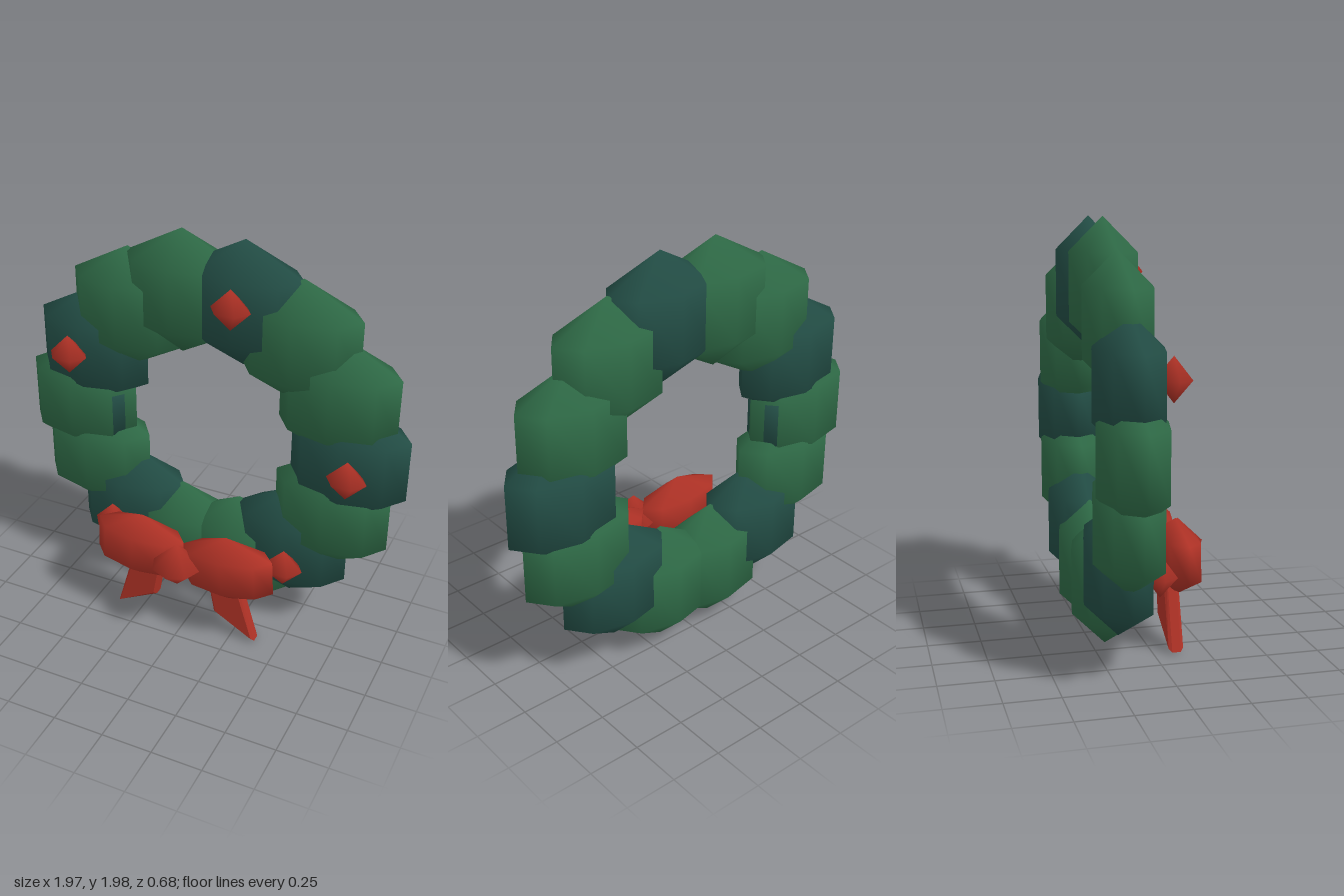
import * as THREE from 'three';

const green = new THREE.MeshStandardMaterial({ name: 'leafGreen', color: 0x2f6b47 });
const teal = new THREE.MeshStandardMaterial({ name: 'darkGreen', color: 0x234e46 });
const red = new THREE.MeshStandardMaterial({ name: 'ribbonRed', color: 0xb03226 });

export function createModel() {
  const model = new THREE.Group();
  model.name = 'wreath';

  const tuftGeo = new THREE.SphereGeometry(1, 8, 3);
  const berryGeo = new THREE.SphereGeometry(0.1, 6, 2);
  const knotGeo = new THREE.SphereGeometry(0.125, 8, 2);

  const add = (name, geo, material, position, scale = [1, 1, 1]) => {
    const mesh = new THREE.Mesh(geo, material);
    mesh.name = name;
    mesh.position.set(...position);
    mesh.scale.set(...scale);
    model.add(mesh);
    return mesh;
  };

  // Ring of foliage tufts, every third one dark and carrying a berry
  const count = 14;
  const centreY = 1.01;
  for (let i = 0; i < count; i++) {
    const a = (i / count) * Math.PI * 2;
    const c = Math.cos(a);
    const s = Math.sin(a);
    const dark = i % 3 === 0;
    add('tuft', tuftGeo, dark ? teal : green,
      [c * 0.7, centreY + s * 0.7, -0.185], [0.331, 0.31, 0.18]);
    if (dark) add('berry', berryGeo, red, [c * 0.75, centreY + s * 0.75, 0], [0.97, 1, 0.8]);
  }

  // Small dark tuft showing through the inner edge of the left-hand foliage
  add('innerTuft', tuftGeo, teal, [-0.657, 0.99, -0.185], [0.277, 0.22, 0.167]);

  // Bow: two loops, two tails and a knot
  const tailPoints = [[0.366, 0.04], [0.173, 0.149], [0.125, 0.405], [0.255, 0.405]];
  for (const side of [-1, 1]) {
    const loop = add('bowLoop', tuftGeo, red, [side * 0.236, 0.44, 0.14], [0.27, 0.18, 0.118]);
    loop.rotation.z = side * 0.06;

    const shape = new THREE.Shape(tailPoints.map(([x, y]) => new THREE.Vector2(side * x, y)));
    const tailGeo = new THREE.ExtrudeGeometry(shape, {
      depth: 0.04, bevelEnabled: true, bevelThickness: 0.015, bevelSize: 0.015, bevelSegments: 1,
    });
    add('bowTail', tailGeo, red, [0, 0, 0.085]);
  }
  add('bowKnot', knotGeo, red, [0, 0.44, 0.215], [1, 0.96, 1]);

  return model;
}
